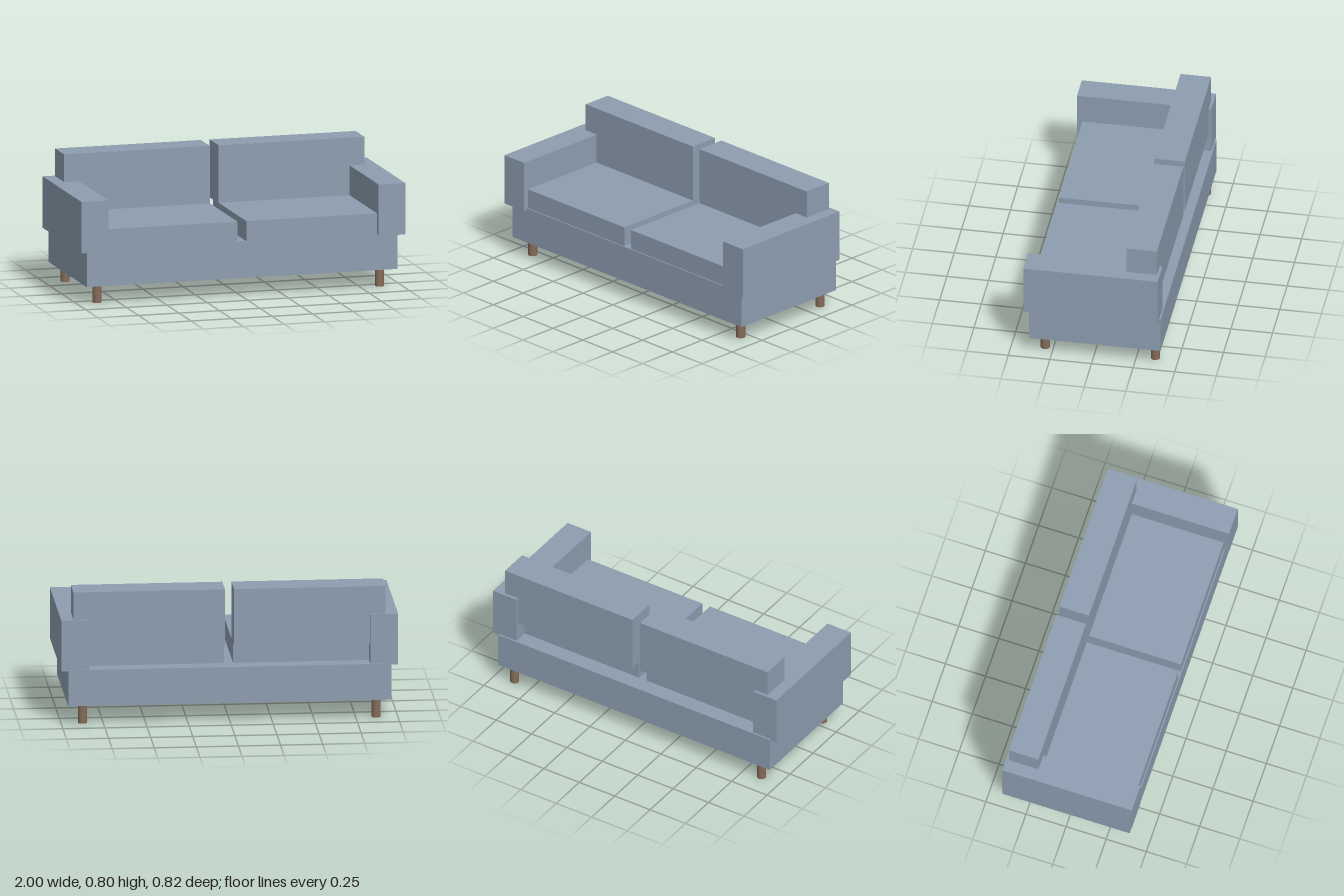
import * as THREE from 'three';

const fabric = new THREE.MeshStandardMaterial({ color: 0x8c9db0 });
const wood = new THREE.MeshStandardMaterial({ color: 0x846b58 });

// Box given by its lower and upper limits on each axis
function block(name, [x0, x1], [y0, y1], [z0, z1]) {
  const mesh = new THREE.Mesh(new THREE.BoxGeometry(x1 - x0, y1 - y0, z1 - z0), fabric);
  mesh.position.set((x0 + x1) / 2, (y0 + y1) / 2, (z0 + z1) / 2);
  mesh.name = name;
  return mesh;
}

export function createModel() {
  const sofa = new THREE.Group();
  sofa.name = 'sofa';

  // Upholstered base
  sofa.add(block('base', [-0.96, 0.96], [0.112, 0.332], [-0.408, 0.383]));

  for (const [side, s] of [['left', 1], ['right', -1]]) {
    const span = (a, b) => (s > 0 ? [a, b] : [-b, -a]);

    // Armrest and the two loose cushions
    sofa.add(block(side + 'Armrest', span(0.835, 1), [0.323, 0.633], [-0.398, 0.409]));
    sofa.add(block(side + 'SeatCushion', span(0.027, 0.84), [0.332, 0.453], [-0.31, 0.376]));
    sofa.add(block(side + 'BackCushion', span(0.027, 0.927), [0.45, 0.8], [-0.381, -0.197]));

    // Round legs
    for (const [end, z] of [['Front', 0.3], ['Back', -0.362]]) {
      const leg = new THREE.Mesh(new THREE.CylinderGeometry(0.027, 0.027, 0.115, 24), wood);
      leg.position.set(s * 0.872, 0.0575, z);
      leg.name = side + end + 'Leg';
      sofa.add(leg);
    }
  }
  return sofa;
}
